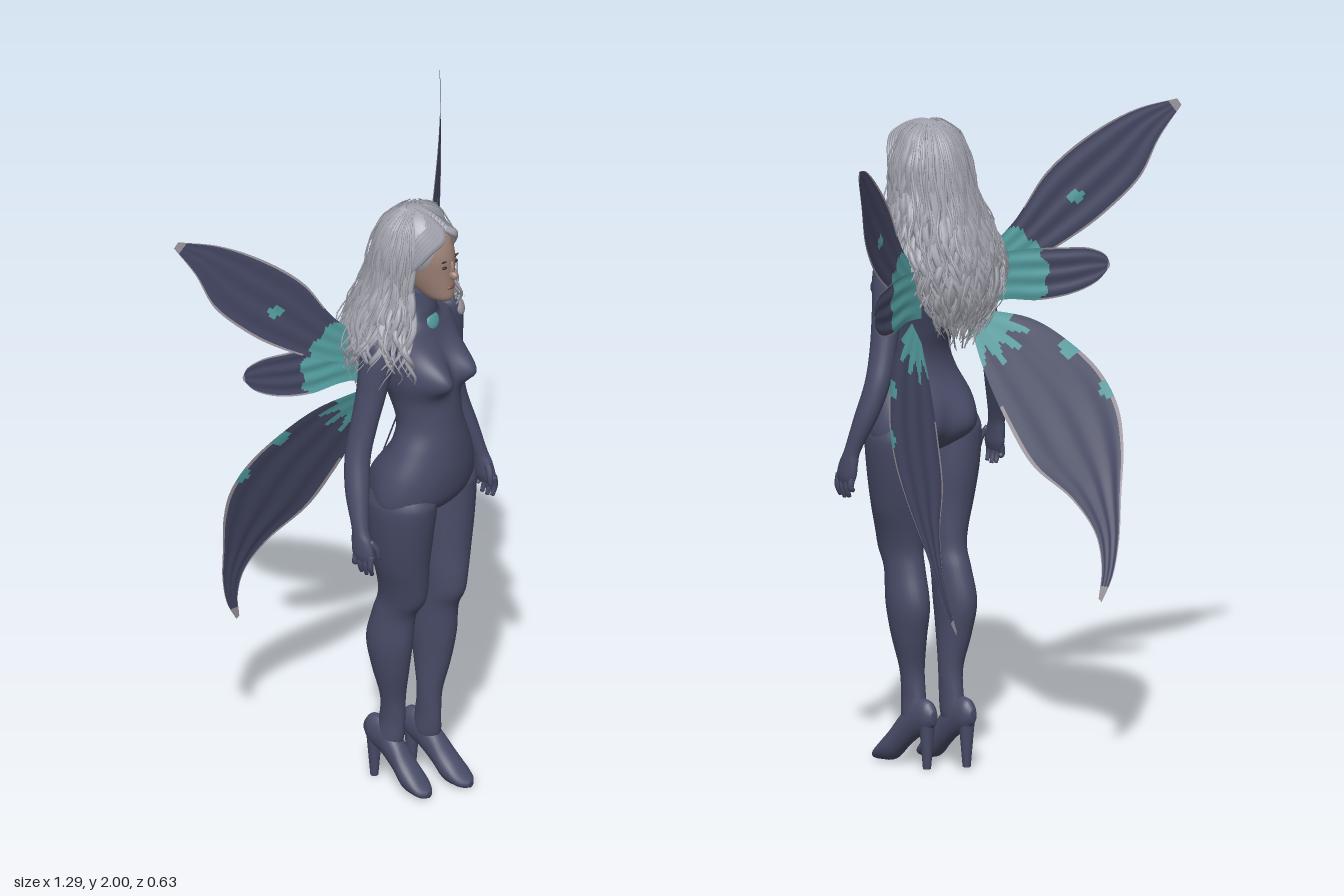
import * as THREE from 'three';
import { mergeGeometries } from 'three/addons/utils/BufferGeometryUtils.js';

const material = (name, color, side = THREE.FrontSide) => {
  const m = new THREE.MeshStandardMaterial({ color, side });
  m.name = name;
  return m;
};

// Small seeded random generator
let seed = 7;
const rand = () => (seed = (seed * 16807) % 2147483647) / 2147483647;

// Catmull-Rom interpolation of every column of a table
function smooth(rows, steps = 5) {
  const out = [], at = i => rows[Math.min(Math.max(i, 0), rows.length - 1)];
  for (let i = 0; i < rows.length - 1; i++)
    for (let s = 0; s < steps; s++) {
      const t = s / steps;
      out.push(rows[0].map((_, c) => {
        const [a, b, d, e] = [at(i - 1)[c], at(i)[c], at(i + 1)[c], at(i + 2)[c]];
        return b + 0.5 * t * (d - a + t * (2 * a - 5 * b + 4 * d - e + t * (3 * (b - d) + e - a)));
      }));
    }
  out.push(rows[rows.length - 1]);
  return out;
}

// Closed skin over a list of rings of points
function skin(rings) {
  const n = rings[0].length, pos = [], idx = [];
  rings.forEach(r => r.forEach(p => pos.push(p.x, p.y, p.z)));
  for (let i = 0; i < rings.length - 1; i++)
    for (let j = 0; j < n; j++) {
      const a = i * n + j, b = i * n + (j + 1) % n;
      idx.push(a, b, a + n, b, b + n, a + n);
    }
  const last = rings.length - 1;
  [0, last].forEach((k, e) => {
    const c = rings[k].reduce((s, p) => s.add(p), new THREE.Vector3()).divideScalar(n);
    const ci = pos.length / 3;
    pos.push(c.x, c.y, c.z);
    for (let j = 0; j < n; j++) {
      const a = k * n + j, b = k * n + (j + 1) % n;
      e ? idx.push(ci, a, b) : idx.push(ci, b, a);
    }
  });
  const g = new THREE.BufferGeometry();
  g.setAttribute('position', new THREE.Float32BufferAttribute(pos, 3));
  g.setIndex(idx);
  g.computeVertexNormals();
  return g;
}

// Elliptical rings [x, y, z, r1, r2]; flat in y (rows go down) or flat in z (rows go forward)
function loft(rows, axis = 'y', n = 28) {
  return skin(smooth(rows).map(([x, y, z, a, b]) => Array.from({ length: n }, (_, j) => {
    const t = j / n * Math.PI * 2, c = Math.cos(t) * a, s = Math.sin(t) * b;
    return axis === 'y' ? new THREE.Vector3(x + c, y, z + s) : new THREE.Vector3(x + c, y + s, z);
  })));
}
// Rows [y, x, halfWidth, zBack, zFront] to loft rings
const section = ([y, x, r, zb, zf]) => [x, y, (zb + zf) / 2, r, (zf - zb) / 2];

// Tapered flat strand along points, facing away from a vertical axis
function strand(points, width, thick, steps, taper, axisX = 0, axisZ = 0.12) {
  const curve = new THREE.CatmullRomCurve3(points), rings = [];
  for (let i = 0; i <= steps; i++) {
    const t = i / steps, p = curve.getPoint(t), T = curve.getTangent(t);
    const out = new THREE.Vector3(p.x - axisX, 0.02, p.z - axisZ);
    const side = out.clone().cross(T).normalize(), O = T.clone().cross(side);
    const k = taper(t);
    rings.push(Array.from({ length: 6 }, (_, j) => {
      const a = j / 6 * Math.PI * 2;
      return p.clone().addScaledVector(side, Math.cos(a) * width * k).addScaledVector(O, Math.sin(a) * thick * k);
    }));
  }
  return skin(rings);
}

// Hair surface: angle from the front, height
const hairProfile = [[1.97, 0.02], [1.94, 0.072], [1.86, 0.108], [1.75, 0.12], [1.65, 0.145], [1.55, 0.165], [1.45, 0.15], [1.3, 0.06]];
function hairPoint(a, y, grow = 0) {
  let i = 0;
  while (i < hairProfile.length - 2 && y < hairProfile[i + 1][0]) i++;
  const [y0, r0] = hairProfile[i], [y1, r1] = hairProfile[i + 1];
  let r = THREE.MathUtils.lerp(r0, r1, (y0 - y) / (y0 - y1)) + grow;
  if (Math.sin(a) < 0 && y < 1.75) r *= 1 + Math.min(0.22, (1.75 - y) * 1.3) * -Math.sin(a);
  const drop = (1.97 - y) / 0.64;
  return new THREE.Vector3(Math.sin(a) * r, y, 0.125 + Math.cos(a) * r * 0.85 - 0.085 * drop * (1 - Math.cos(a)) / 2);
}
function hairEnd(a) {
  const back = THREE.MathUtils.smoothstep(-Math.cos(a), 0.1, 0.8);
  return THREE.MathUtils.lerp(Math.sin(a) > 0 ? 1.6 : 1.48, 1.335, back);
}

// Wing sheet stretched between two rails, coloured by a rule on each face
function wingSheet(sign, railA, railB, depth, paint) {
  const curve = r => new THREE.CatmullRomCurve3(r.map(([x, y]) => new THREE.Vector3(x, y, 0)));
  const A = curve(railA), B = curve(railB), U = 64, V = 26, pos = [], lists = [[], [], []], flat = [];
  const vAt = j => j === 0 ? 0 : j === V ? 1 : 0.035 + 0.93 * (j - 1) / (V - 2);
  for (let i = 0; i <= U; i++)
    for (let j = 0; j <= V; j++) {
      const p = A.getPointAt(i / U).lerp(B.getPointAt(i / U), vAt(j));
      flat.push(p);
      pos.push(sign * p.x, p.y, depth(p.x, p.y) + 0.0025 * Math.sin(vAt(j) * 20) * Math.sin(Math.PI * i / U));
    }
  for (let i = 0; i < U; i++)
    for (let j = 0; j < V; j++) {
      const a = i * (V + 1) + j, b = a + 1, c = a + V + 1, d = c + 1;
      const m = flat[a].clone().add(flat[d]).multiplyScalar(0.5);
      const f = sign > 0 ? [a, c, b, b, c, d] : [a, b, c, b, d, c];
      lists[paint(m.x, m.y, i / U, j === 0 || j === V - 1)].push(...f);
    }
  const g = new THREE.BufferGeometry();
  g.setAttribute('position', new THREE.Float32BufferAttribute(pos, 3));
  g.setIndex(lists.flat());
  let start = 0;
  lists.forEach((l, k) => { g.addGroup(start, l.length, k); start += l.length; });
  g.computeVertexNormals();
  return g;
}

export function createModel() {
  const model = new THREE.Group();
  const suit = material('suit navy', 0x484c67), skinTone = material('skin', 0x9a7f74);
  const hairMat = material('silver hair', 0xa2a2ad, THREE.DoubleSide), dark = material('eye dark', 0x3a2e2f);
  const lip = material('lip', 0x7c514d), teal = material('teal', 0x55a0a3, THREE.DoubleSide);
  const trim = material('pale trim', 0x9c969e, THREE.DoubleSide);
  const wingMats = [material('wing navy', 0x454864, THREE.DoubleSide), teal, trim];
  const add = (name, geo, mat) => {
    const m = new THREE.Mesh(geo, mat);
    m.name = name;
    model.add(m);
    return m;
  };
  const ball = (name, mat, p, r) => {
    const m = add(name, new THREE.SphereGeometry(1, 28, 18), mat);
    m.position.set(...p);
    m.scale.set(...r);
    return m;
  };

  // Torso and neck, with bust and seat swelled out of the surface
  const torso = loft([
    [1.71, 0, 0.048, 0.1, 0.19], [1.65, 0, 0.053, 0.09, 0.195], [1.61, 0, 0.08, 0.07, 0.195], [1.58, 0, 0.135, 0.05, 0.205],
    [1.54, 0, 0.155, 0.035, 0.22], [1.48, 0, 0.145, 0.03, 0.243], [1.42, 0, 0.132, 0.035, 0.258], [1.35, 0, 0.112, 0.06, 0.268],
    [1.27, 0, 0.108, 0.09, 0.276], [1.2, 0, 0.135, 0.085, 0.284], [1.12, 0, 0.172, 0.05, 0.288], [1.05, 0, 0.187, 0.04, 0.28],
    [1.01, 0, 0.178, 0.05, 0.262], [0.985, 0, 0.13, 0.07, 0.235], [0.965, 0, 0.07, 0.1, 0.19]].map(section), 'y', 80);
  const T = torso.attributes.position;
  const bump = (dx, dy) => Math.exp(-dx * dx - dy * dy);
  for (let i = 0; i < T.count; i++) {
    const x = Math.abs(T.getX(i)), y = T.getY(i), z = T.getZ(i);
    const bust = 0.068 * bump((x - 0.065) / 0.05, (y - 1.44) / (y > 1.44 ? 0.07 : 0.045));
    const seat = 0.03 * bump((x - 0.085) / 0.06, (y - 1.06) / 0.07);
    T.setZ(i, z + (z > 0.16 ? bust : -seat));
  }
  torso.computeVertexNormals();
  add('torso', torso, suit);

  for (const s of [1, -1]) {
    const side = s > 0 ? 'left' : 'right';

    // Leg, one a little behind the other
    const back = y => s > 0 ? 0 : -0.06 * THREE.MathUtils.clamp((1 - y) / 0.4, 0, 1);
    add(side + 'Leg', loft([
      [1.09, 0.09, 0.075, 0.08, 0.23], [1.04, 0.094, 0.09, 0.045, 0.262], [1.0, 0.096, 0.093, 0.038, 0.265], [0.9, 0.09, 0.087, 0.055, 0.263],
      [0.8, 0.081, 0.076, 0.08, 0.26], [0.72, 0.069, 0.063, 0.095, 0.262], [0.66, 0.064, 0.055, 0.1, 0.258], [0.6, 0.064, 0.053, 0.09, 0.232],
      [0.5, 0.067, 0.055, 0.068, 0.222], [0.4, 0.062, 0.047, 0.085, 0.205], [0.3, 0.05, 0.036, 0.105, 0.185], [0.22, 0.048, 0.031, 0.098, 0.183],
      [0.16, 0.051, 0.033, 0.088, 0.18], [0.12, 0.053, 0.028, 0.09, 0.165]]
      .map(([y, x, r, zb, zf]) => section([y, s * x, r, zb + back(y), zf + back(y)]))), suit);

    // High-heeled shoe
    const dz = back(0);
    add(side + 'Shoe', loft([
      [0.051, 0.165, 0.045, 0.012, 0.02], [0.051, 0.165, 0.07, 0.028, 0.048], [0.052, 0.15, 0.12, 0.033, 0.06], [0.055, 0.105, 0.17, 0.036, 0.058],
      [0.058, 0.06, 0.21, 0.042, 0.05], [0.06, 0.034, 0.25, 0.04, 0.031], [0.062, 0.02, 0.275, 0.03, 0.018], [0.062, 0.015, 0.29, 0.012, 0.01]]
      .map(([x, y, z, a, b]) => [s * x, y, z + dz, a, b]), 'z'), suit);
    const heel = add(side + 'Heel', new THREE.CylinderGeometry(0.024, 0.012, 0.14, 16), suit);
    heel.position.set(s * 0.052, 0.075, 0.077 + dz);

    // Arm and hand
    add(side + 'Arm', loft([
      [0.135, 1.602, 0.12, 0.02, 0.03], [0.152, 1.578, 0.12, 0.042, 0.052], [0.164, 1.53, 0.117, 0.047, 0.056], [0.175, 1.47, 0.112, 0.045, 0.052],
      [0.187, 1.4, 0.107, 0.041, 0.047], [0.21, 1.3, 0.098, 0.037, 0.042], [0.234, 1.21, 0.095, 0.037, 0.04], [0.262, 1.11, 0.114, 0.033, 0.038],
      [0.287, 1.01, 0.144, 0.023, 0.027], [0.293, 0.97, 0.155, 0.021, 0.034], [0.295, 0.93, 0.162, 0.019, 0.038], [0.296, 0.905, 0.165, 0.012, 0.03]]
      .map(([x, ...r]) => [s * x, ...r])), suit);
    const finger = pts => strand(pts.map(([x, y, z]) => new THREE.Vector3(s * x, y, z)), 0.0105, 0.0105, 8, t => 1 - 0.4 * t * t, s * 0.1);
    const fingers = [0, 1, 2, 3].map(i => {
      const z = 0.194 - i * 0.019, tip = 0.86 + (i === 3 ? 0.018 : 0) + Math.abs(i - 1) * 0.004;
      return finger([[0.296, 0.93, z], [0.302, 0.895, z], [0.292, tip, z - 0.002]]);
    });
    fingers.push(finger([[0.286, 0.97, 0.18], [0.274, 0.94, 0.198], [0.27, 0.91, 0.202]]));
    add(side + 'Fingers', mergeGeometries(fingers), suit);

    // Eyes and brows
    ball(side + 'Eye', dark, [s * 0.025, 1.815, 0.2585], [0.012, 0.005, 0.005]);
    ball(side + 'Brow', dark, [s * 0.026, 1.835, 0.259], [0.015, 0.0025, 0.004]).rotation.z = s * 0.12;

    // Wings
    const paint = (cx, cy, reach, streak, spots) => (x, y, u, edge) => {
      const ang = Math.atan2(y - cy, x - cx);
      if (Math.hypot(x - cx, y - cy) < reach + streak * Math.sin(ang * 14)) return 1;
      if (spots.some(([a, b, r]) => Math.hypot(x - a, y - b) < r)) return 1;
      return (edge && u > 0.25) || u > 0.965 ? 2 : 0;
    };
    const upperDepth = (x, y) => 0.08 - 0.26 * x - 0.45 * x * x;
    const upperPaint = paint(0.15, 1.48, 0.162, 0.008, [[0.39, 1.71, 0.02]]);
    add(side + 'UpperWing', wingSheet(s,
      [[0.13, 1.55], [0.225, 1.645], [0.315, 1.79], [0.43, 1.9], [0.54, 1.97], [0.635, 2]],
      [[0.13, 1.46], [0.27, 1.515], [0.4, 1.597], [0.475, 1.665], [0.55, 1.76], [0.595, 1.88], [0.645, 1.98]], upperDepth, upperPaint), wingMats);
    add(side + 'MiddleWing', wingSheet(s,
      [[0.11, 1.55], [0.25, 1.56], [0.35, 1.557], [0.42, 1.552], [0.46, 1.53], [0.472, 1.5]],
      [[0.11, 1.4], [0.2, 1.41], [0.29, 1.4], [0.38, 1.415], [0.44, 1.448], [0.47, 1.49]], (x, y) => upperDepth(x, y) - 0.009, upperPaint), wingMats);
    const lowerPaint = paint(0.12, 1.36, 0.115, 0.03, [[0.35, 1.25, 0.024], [0.428, 1.13, 0.022]]);
    add(side + 'LowerWing', wingSheet(s,
      [[0.13, 1.385], [0.27, 1.345], [0.35, 1.28], [0.42, 1.185], [0.447, 1.08], [0.436, 0.97], [0.395, 0.82], [0.365, 0.7], [0.33, 0.6], [0.29, 0.53]],
      [[0.1, 1.32], [0.11, 1.2], [0.14, 1.05], [0.18, 0.93], [0.262, 0.83], [0.305, 0.73], [0.305, 0.63], [0.283, 0.54]],
      (x, y) => 0.12 - 0.37 * (1.38 - y) - 0.5 * x + 0.025 * Math.max(0, (0.85 - y) / 0.32) ** 2,
      (x, y, u, edge) => u > 0.94 ? 2 : lowerPaint(x, y, u, edge)), wingMats);
  }

  // Head and face
  add('head', loft([
    [1.95, 0, 0.015, 0.13, 0.17], [1.93, 0, 0.045, 0.1, 0.205], [1.9, 0, 0.06, 0.075, 0.243], [1.87, 0, 0.065, 0.07, 0.259], [1.83, 0, 0.067, 0.07, 0.267],
    [1.78, 0, 0.062, 0.08, 0.266], [1.74, 0, 0.052, 0.1, 0.267], [1.705, 0, 0.037, 0.15, 0.267], [1.688, 0, 0.02, 0.18, 0.25]].map(section)), skinTone);
  ball('nose', skinTone, [0, 1.783, 0.268], [0.011, 0.014, 0.02]);
  ball('noseBridge', skinTone, [0, 1.805, 0.263], [0.008, 0.027, 0.012]);
  ball('lips', lip, [0, 1.742, 0.264], [0.017, 0.007, 0.007]);

  // Brooch and shoulder patch
  ball('chestGem', teal, [0, 1.602, 0.195], [0.027, 0.027, 0.008]).rotation.x = -0.3;
  ball('shoulderPatch', trim, [0.17, 1.562, 0.165], [0.023, 0.028, 0.012]).rotation.set(-0.35, 0.35, 0);

  // Hair: cap, under layer, wavy locks and loose strands
  ball('hairCap', hairMat, [0, 1.857, 0.135], [0.092, 0.113, 0.116]).rotation.x = 0.4;
  const under = new THREE.PlaneGeometry(1, 1, 60, 30), P = under.attributes.position;
  for (let i = 0; i < P.count; i++) {
    const a = THREE.MathUtils.lerp(1.1, Math.PI * 2 - 1.1, P.getX(i) + 0.5);
    const y = THREE.MathUtils.lerp(1.96, hairEnd(a) + 0.03, 0.5 - P.getY(i));
    const q = hairPoint(a, y, -0.012);
    P.setXYZ(i, q.x, q.y, q.z);
  }
  under.computeVertexNormals();
  add('hairUnderLayer', under, hairMat);
  const locks = [];
  for (let k = 0; k < 160; k++) {
    const loose = k >= 120;
    const a = THREE.MathUtils.lerp(0.92, Math.PI * 2 - 0.85, loose ? rand() : (k + rand() * 0.8) / 120);
    const end = hairEnd(a) + (rand() - 0.5) * 0.08, phase = rand() * 6.3, grow = rand() * 0.01 + (loose ? 0.015 : 0), pts = [];
    for (let i = 0; i <= 14; i++) {
      const t = i / 14, y = THREE.MathUtils.lerp(1.967, end, t);
      pts.push(hairPoint(a + 0.11 * t * Math.sin(y * 34 + phase), y, grow + 0.012 * t * Math.sin(y * 45 + phase * 2)));
    }
    const w = loose ? 0.004 : 0.009 + rand() * 0.007;
    locks.push(strand(pts, w, w * 0.6, 28, t => Math.min(1, 0.4 + t * 4) * (1 - 0.85 * t ** 4)));
  }
  add('hairLocks', mergeGeometries(locks), hairMat);

  // Fringe swept from the parting over the forehead to the temples
  const fringe = [];
  for (const s of [1, -1])
    for (let k = 0; k < 9; k++) {
      const f = k / 8, j = (rand() - 0.5) * 0.006;
      const pts = [[0.004, 1.962 - 0.03 * f * f, 0.14 + 0.092 * f], [0.03, 1.95 - 0.042 * f, 0.16 + 0.092 * f], [0.062, 1.925 - 0.045 * f, 0.155 + 0.078 * f],
        [0.082, 1.875 - 0.03 * f, 0.145 + 0.065 * f], [0.095 + j, 1.8, 0.135 + 0.045 * f], [0.112 + j, 1.71, 0.13 + 0.035 * f]];
      fringe.push(strand(pts.map(([x, y, z]) => new THREE.Vector3(s * x, y, z)), 0.014, 0.007, 24, t => 1 - 0.7 * t ** 3));
    }
  add('hairFringe', mergeGeometries(fringe), hairMat);
  return model;
}
